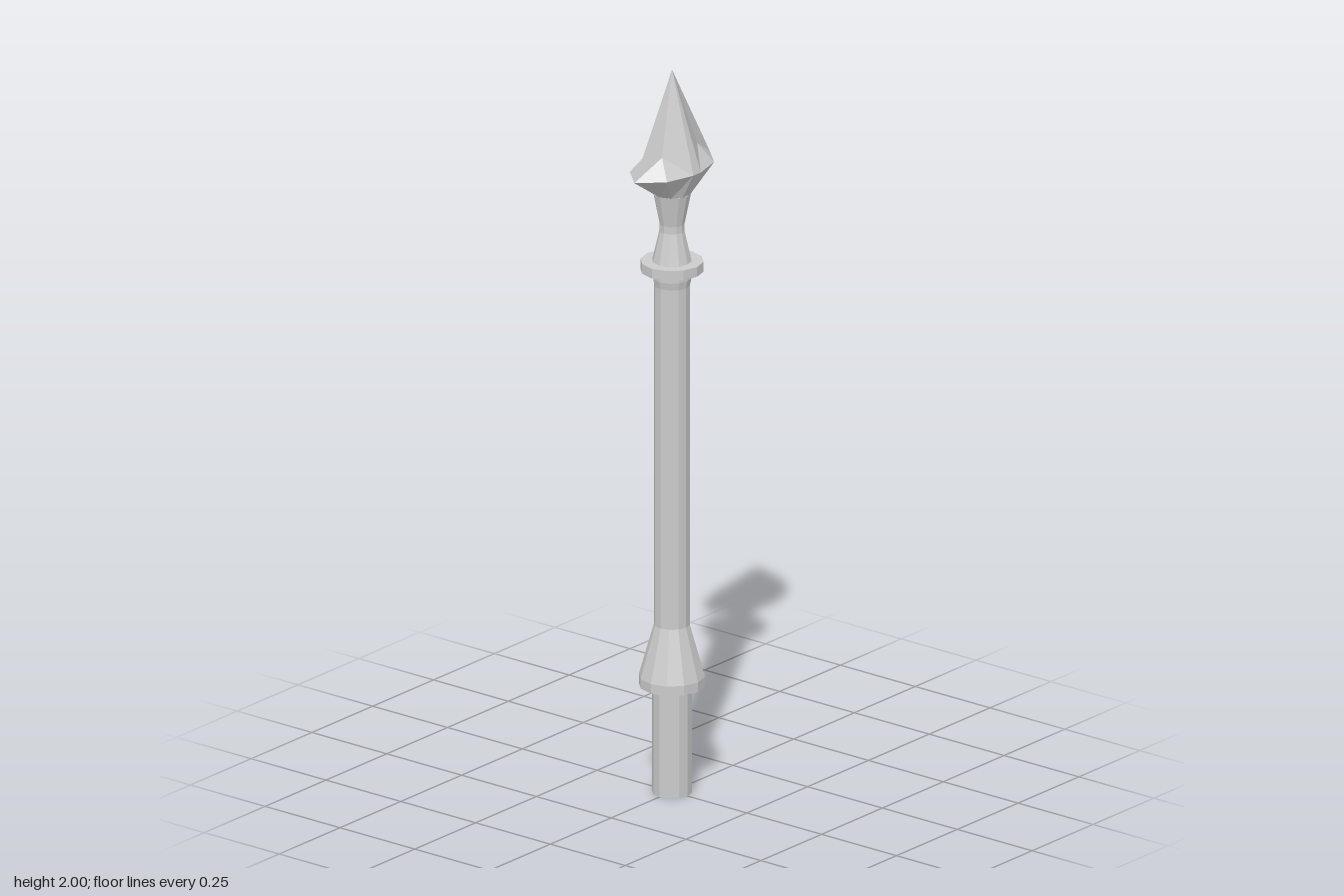
import * as THREE from 'three';

const SIDES = 12;
const material = new THREE.MeshStandardMaterial({ color: 0xcccccc, flatShading: true });

function add(group, name, geometry) {
  const mesh = new THREE.Mesh(geometry, material);
  mesh.name = name;
  group.add(mesh);
}

// Turned part from [radius, height] pairs, listed bottom to top
function turned(profile) {
  return new THREE.LatheGeometry(profile.map(([r, y]) => new THREE.Vector2(r, y)), SIDES);
}

// Flattened, faceted point: ten-cornered rim, dimpled flanks, tapered underside
function spearhead() {
  const rimY = 1.73, dimpleY = 1.782, neckY = 1.66, neckR = 0.05;
  const half = [[0.155, 0], [0.097, 0.062], [0.015, 0.084], [-0.015, 0.084], [-0.097, 0.062]];
  const rim = [...half, ...half.map(([x, z]) => [-x, -z])].map(([x, z]) => [x, rimY, z]);
  const n = rim.length;
  const neck = rim.map((_, i) => {
    const a = (i / n) * Math.PI * 2;
    return [Math.cos(a) * neckR, neckY, Math.sin(a) * neckR];
  });
  const apex = [0, 2, 0];
  const points = [];
  const tri = (a, b, c) => points.push(...a, ...b, ...c);

  // Underside, from the neck out to the rim
  for (let i = 0; i < n; i++) {
    const j = (i + 1) % n;
    tri(neck[i], rim[i], neck[j]);
    tri(neck[j], rim[i], rim[j]);
  }
  // Four flanks, each pushed in above its rim corner
  for (const i of [0, 3, 5, 8]) {
    const a = rim[i], corner = rim[i + 1], b = rim[(i + 2) % n];
    const dimple = [Math.sign(corner[0]) * 0.072, dimpleY, Math.sign(corner[2]) * 0.025];
    tri(a, apex, dimple);
    tri(dimple, apex, b);
    tri(a, dimple, corner);
    tri(corner, dimple, b);
  }
  // Narrow middle facets, front and back
  for (const i of [2, 7]) tri(rim[i], apex, rim[i + 1]);

  const geometry = new THREE.BufferGeometry();
  geometry.setAttribute('position', new THREE.Float32BufferAttribute(points, 3));
  geometry.computeVertexNormals();
  return geometry;
}

export function createModel() {
  const group = new THREE.Group();
  group.name = 'spearFinial';

  add(group, 'lowerShaft', turned([[0, 0], [0.052, 0], [0.052, 0.3]]));
  add(group, 'flaredCollar', turned([[0, 0.297], [0.087, 0.297], [0.087, 0.323], [0.047, 0.465]]));
  add(group, 'mainShaft', turned([[0.047, 0.46], [0.047, 1.405], [0.051, 1.425], [0.051, 1.447]]));
  add(group, 'flange', turned([[0, 1.445], [0.083, 1.445], [0.083, 1.472], [0, 1.472]]));
  add(group, 'neck', turned([[0.052, 1.472], [0.033, 1.555], [0.033, 1.575], [0.05, 1.66]]));
  add(group, 'spearhead', spearhead());

  return group;
}
